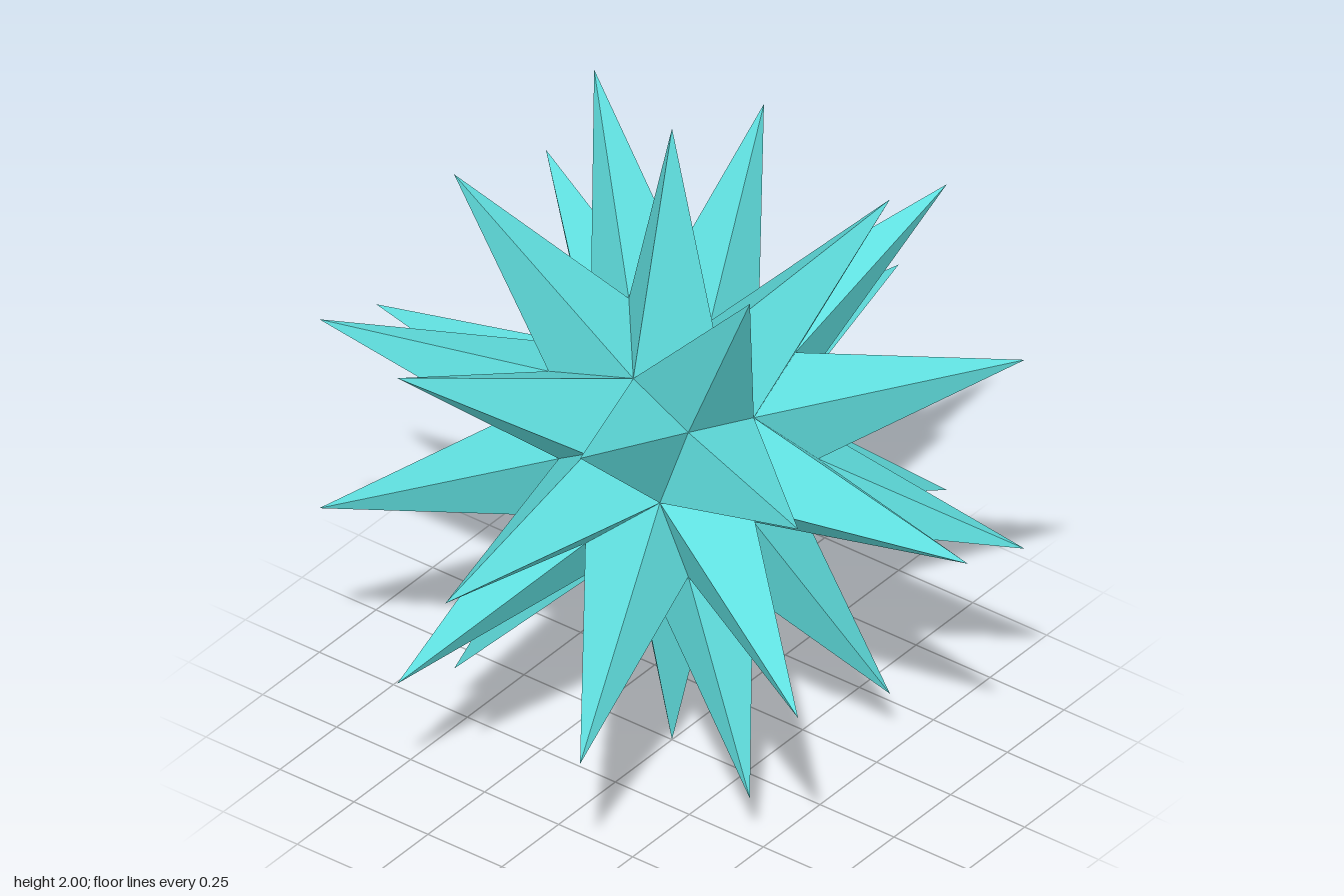
import * as THREE from 'three';

const PHI = (1 + Math.sqrt(5)) / 2;

// All sign changes and cyclic axis shifts of a point, without repeats
function orbit(x, y, z) {
  const found = new Map();
  for (const [a, b, c] of [[x, y, z], [z, x, y], [y, z, x]])
    for (const i of [1, -1])
      for (const j of [1, -1])
        for (const k of [1, -1]) {
          const p = [a * i + 0, b * j + 0, c * k + 0];
          found.set(p.map((v) => (v + 0).toFixed(4)).join(), new THREE.Vector3(...p));
        }
  return [...found.values()];
}

// Two points of a set closest to the tip
const nearestTwo = (tip, points) =>
  [...points].sort((p, q) => tip.distanceToSquared(p) - tip.distanceToSquared(q)).slice(0, 2);

export function createModel() {
  const group = new THREE.Group();
  group.name = 'spikedStar';
  const material = new THREE.MeshStandardMaterial({ color: 0x5fdede, flatShading: true });

  // Spike tips: corners of an icosidodecahedron
  const tips = [...orbit(0, 0, 1), ...orbit(0.5 / PHI, 0.5, PHI / 2)];
  // Deep valleys where five spikes meet, shallower ones where three meet
  const fiveValleys = orbit(0.1708, 0, 0.1708 * PHI);
  const s = 0.2361;
  const threeValleys = [...orbit(s, s, s), ...orbit(0, s / PHI, s * PHI)];

  // Each spike is an open four-sided pyramid standing on its four valleys
  tips.forEach((tip, n) => {
    const corners = [];
    for (const a of nearestTwo(tip, fiveValleys))
      for (const b of nearestTwo(tip, threeValleys)) {
        const outward = tip.dot(a.clone().cross(b)) > 0;
        corners.push(tip, ...(outward ? [a, b] : [b, a]));
      }
    const geometry = new THREE.BufferGeometry().setFromPoints(corners);
    geometry.computeVertexNormals();
    const spike = new THREE.Mesh(geometry, material);
    spike.name = `spike${n + 1}`;
    spike.position.y = 1;
    group.add(spike);
  });
  return group;
}
